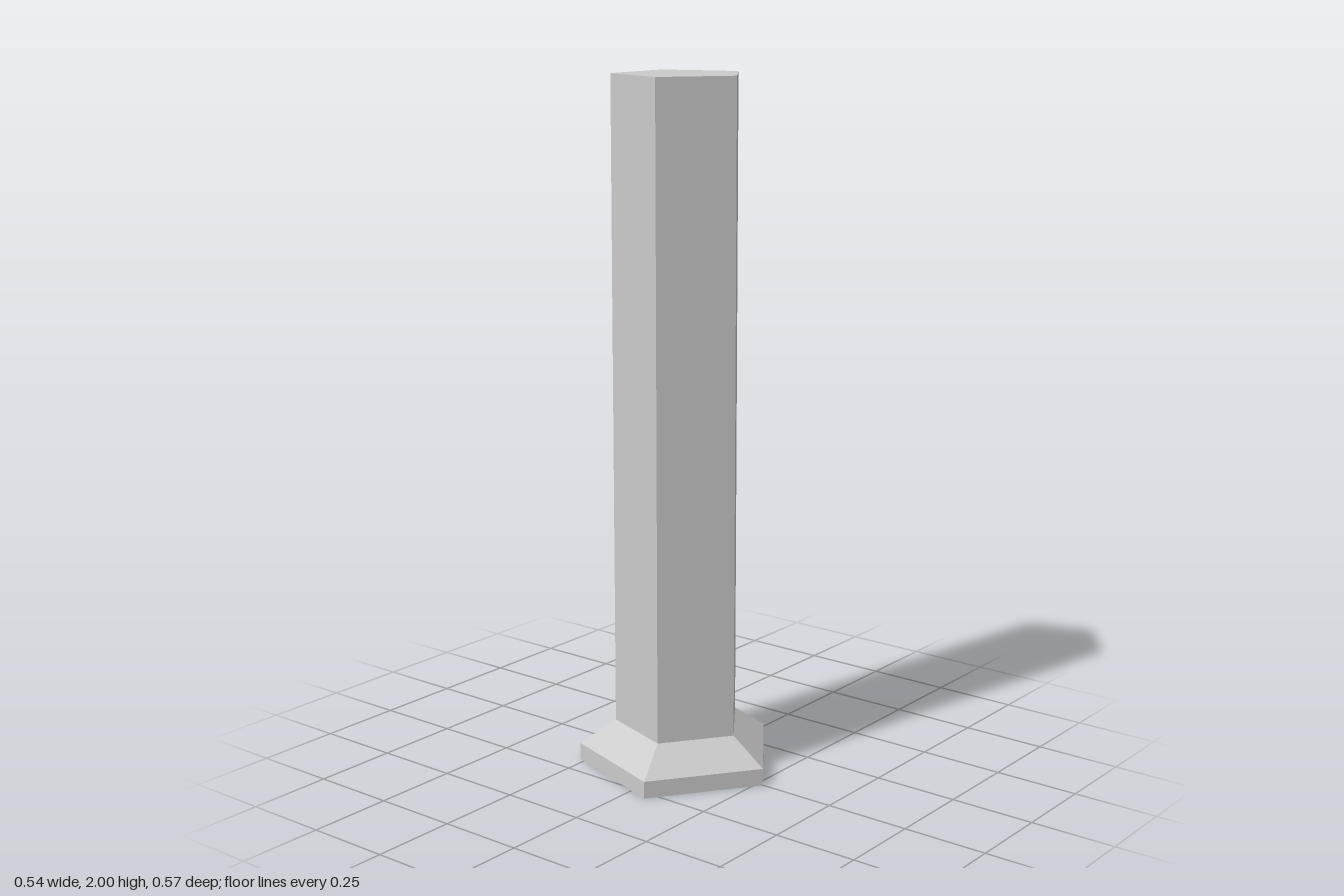
import * as THREE from 'three';

const SIDES = 5;
const BASE_R = 0.2985, COLUMN_R = 0.1925;
const BASE_H = 0.05, COLUMN_Y = 0.125, TOP_Y = 2;

export function createModel() {
  const group = new THREE.Group();
  group.name = 'pentagonalPillar';
  const material = new THREE.MeshStandardMaterial({ color: 0xcccccc, flatShading: true });

  // Five-sided part turned from a profile of [radius, height], one corner pointing to +x
  function addPart(name, profile) {
    const points = profile.map(([r, y]) => new THREE.Vector2(r, y));
    const geometry = new THREE.LatheGeometry(points, SIDES, Math.PI / 2).toNonIndexed();
    geometry.computeVertexNormals();
    const mesh = new THREE.Mesh(geometry, material);
    mesh.name = name;
    // Centre the pentagon's extent on x = 0
    mesh.position.x = -BASE_R * (1 - Math.cos(Math.PI / SIDES)) / 2;
    group.add(mesh);
  }

  // Low plinth with a sloped shoulder
  addPart('base', [[0, 0], [BASE_R, 0], [BASE_R, BASE_H], [COLUMN_R, COLUMN_Y]]);

  // Straight shaft with a flat top
  addPart('column', [[COLUMN_R, COLUMN_Y], [COLUMN_R, TOP_Y], [0, TOP_Y]]);

  return group;
}
